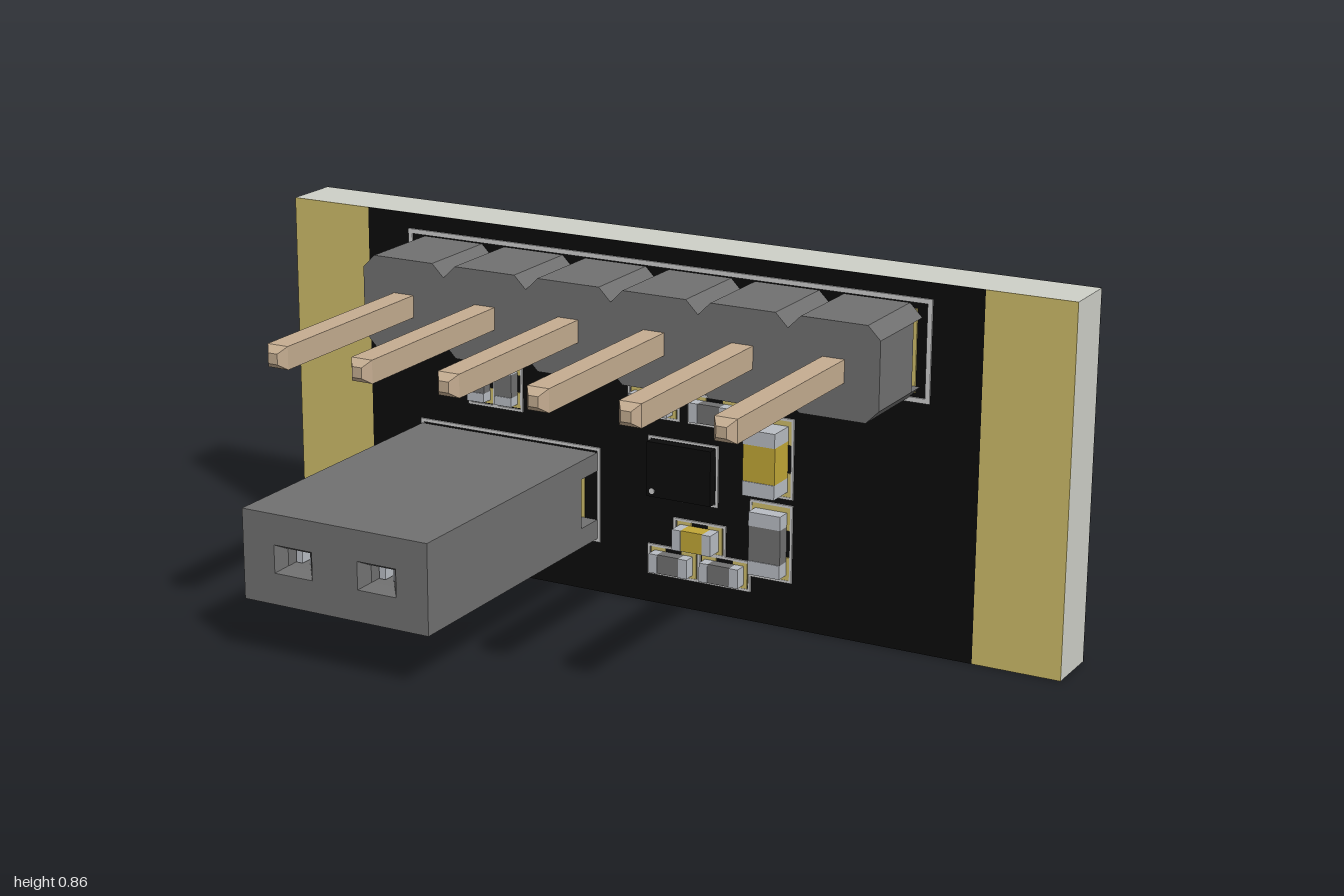
import * as THREE from 'three';

const mat = (color) => new THREE.MeshStandardMaterial({ color, flatShading: true });
const M = {
  board: mat(0xcdcfc7), mask: mat(0x0b0b0b), gold: mat(0xcdbb69), plastic: mat(0x707070),
  pin: mat(0xc4ac90), tin: mat(0xb8bcc2), capacitor: mat(0xc0a636), silk: mat(0xd8d8d8),
};
const FRONT = -0.24, BACK = -0.377, H = 0.857;
const PITCH = 0.2175, PIN_Y = 0.7, SOCKET_Y = 0.24;
const headerX = [0, 1, 2, 3, 4, 5].map((i) => -0.548 + i * PITCH);
const socketX = [-0.512, -0.293];

function add(parent, name, geometry, material) {
  const mesh = new THREE.Mesh(geometry, material);
  mesh.name = name;
  parent.add(mesh);
  return mesh;
}

// Box given by its limits on each axis
function box(parent, name, material, x0, x1, y0, y1, z0, z1) {
  const m = add(parent, name, new THREE.BoxGeometry(x1 - x0, y1 - y0, z1 - z0), material);
  m.position.set((x0 + x1) / 2, (y0 + y1) / 2, (z0 + z1) / 2);
  return m;
}

const polygon = (pts) => new THREE.Shape(pts.map((p) => new THREE.Vector2(...p)));
const rect = (x, y, w, h) => polygon([
  [x - w / 2, y - h / 2], [x + w / 2, y - h / 2], [x + w / 2, y + h / 2], [x - w / 2, y + h / 2]]);

function extrude(parent, name, material, shape, z0, z1) {
  const g = new THREE.ExtrudeGeometry(shape, { depth: z1 - z0, bevelEnabled: false, curveSegments: 24 });
  const m = add(parent, name, g, material);
  m.position.z = z0;
  return m;
}

// Printed rectangular outline on the front
function outline(parent, x, y, w, h, t = 0.01) {
  const s = rect(x, y, w, h);
  s.holes.push(rect(x, y, w - 2 * t, h - 2 * t));
  extrude(parent, 'printedOutline', M.silk, s, FRONT, FRONT + 0.004);
}

// Chip part with a body, two end caps and two solder pads
function chipPart(parent, name, x, y, length, width, height, material, vertical) {
  const g = new THREE.Group();
  g.name = name;
  g.position.set(x, y, FRONT);
  if (vertical) g.rotation.z = Math.PI / 2;
  const a = length / 2, w = width / 2, cap = length * 0.22;
  box(g, 'body', material, -a + cap, a - cap, -w, w, 0.003, height - 0.002);
  for (const s of [-1, 1]) {
    const c = s * (a - cap / 2);
    box(g, 'endCap', M.tin, c - cap / 2, c + cap / 2, -w, w, 0.002, height);
    const p = s * (a - cap * 0.45), pw = cap * 0.85;
    box(g, 'solderPad', M.gold, p - pw, p + pw, -w - 0.008, w + 0.008, 0, 0.003);
  }
  parent.add(g);
  if (vertical) outline(parent, x, y, width + 0.028, length + 0.036, 0.006);
  else outline(parent, x, y, length + 0.036, width + 0.028, 0.006);
}

// Ring pad on both faces; the first pad of a row is square
function throughPad(parent, x, y, square) {
  const s = square ? rect(x, y, 0.19, 0.19) : new THREE.Shape().absarc(x, y, 0.095, 0, Math.PI * 2);
  extrude(parent, 'throughPadBack', M.gold, s, BACK - 0.004, BACK);
  extrude(parent, 'throughPadFront', M.gold, s, FRONT, FRONT + 0.0035);
}

function buildBoard() {
  const g = new THREE.Group();
  g.name = 'circuitBoard';
  box(g, 'boardCore', M.board, -1, 1, 0, H, BACK + 0.002, FRONT - 0.002);
  box(g, 'frontMask', M.mask, -0.79, 0.79, 0, H, FRONT - 0.002, FRONT);
  box(g, 'backMask', M.mask, -1, 1, 0, H, BACK, BACK + 0.002);
  for (const s of [-1, 1]) {
    box(g, 'edgeContact', M.gold, s * 0.895 - 0.105, s * 0.895 + 0.105, 0, H, FRONT - 0.002, FRONT);
  }
  headerX.forEach((x, i) => throughPad(g, x, PIN_Y, i === 5));
  socketX.forEach((x, i) => throughPad(g, x, SOCKET_Y, i === 1));
  outline(g, -0.003, 0.702, 1.345, 0.236, 0.011);
  outline(g, -0.403, 0.24, 0.494, 0.232, 0.008);
  return g;
}

// Six-way pin header with bevelled segments and a channel underneath
function buildHeader() {
  const g = new THREE.Group();
  g.name = 'pinHeader';
  const a = PITCH / 2, b = 0.108, c = 0.03;
  const octagon = polygon([[-a + c, -b], [a - c, -b], [a, -b + c], [a, b - c],
    [a - c, b], [-a + c, b], [-a, b - c], [-a, -b + c]]);
  const pinGeometry = new THREE.LatheGeometry([
    [0, -0.487], [0.017, -0.487], [0.037, -0.453], [0.037, 0.48], [0.017, 0.5], [0, 0.5],
  ].map((p) => new THREE.Vector2(...p)), 4).rotateY(Math.PI / 4).rotateX(Math.PI / 2);
  for (const x of headerX) {
    const way = new THREE.Group();
    way.name = 'headerWay';
    way.position.set(x, PIN_Y, 0);
    extrude(way, 'segment', M.plastic, octagon, -0.187, -0.017);
    for (const s of [-1, 1]) {
      const foot = [[-a, s * (b - c)], [a, s * (b - c)], [a - c, s * b], [-a + c, s * b]];
      extrude(way, 'foot', M.plastic, polygon(foot), -0.233, -0.187);
    }
    add(way, 'pin', pinGeometry, M.pin);
    g.add(way);
  }
  return g;
}

// Two-way socket: long body, funnel openings, feet and flat solder tails
function buildSocket() {
  const g = new THREE.Group();
  g.name = 'socket';
  const x0 = -0.645, x1 = -0.162, y0 = 0.133, y1 = 0.345;
  const layer = (w, h, z0, z1) => {
    const s = rect((x0 + x1) / 2, (y0 + y1) / 2, x1 - x0, y1 - y0);
    for (const x of socketX) s.holes.push(rect(x, SOCKET_Y, w, h));
    extrude(g, 'socketBody', M.plastic, s, z0, z1);
  };
  layer(0.06, 0.04, 0.38, 0.475);
  layer(0.1, 0.066, 0.475, 0.5);
  box(g, 'socketBody', M.plastic, x0, x1, y0, y1, -0.16, 0.38);
  box(g, 'upperFoot', M.plastic, x0, x1, 0.3, y1, -0.235, -0.16);
  box(g, 'lowerFoot', M.plastic, x0, x1, y0, 0.18, -0.235, -0.16);
  const funnel = new THREE.CylinderGeometry(Math.SQRT1_2, Math.SQRT1_2 * 0.6, 0.025, 4, 1, true)
    .rotateY(Math.PI / 4).rotateX(Math.PI / 2).scale(0.1, 0.066, 1);
  const funnelMaterial = M.plastic.clone();
  funnelMaterial.side = THREE.DoubleSide;
  const tail = polygon([[-0.033, 0.16], [-0.033, 0.468], [-0.012, 0.496], [0.012, 0.496],
    [0.033, 0.468], [0.033, 0.16]]);
  const tailGeometry = new THREE.ExtrudeGeometry(tail, { depth: 0.03, bevelEnabled: false })
    .translate(0, 0, -0.015).rotateX(-Math.PI / 2);
  for (const x of socketX) {
    add(g, 'funnel', funnel, funnelMaterial).position.set(x, SOCKET_Y, 0.4875);
    for (const s of [-1, 1]) {
      const cx = x + s * 0.018;
      box(g, 'contact', M.tin, cx - 0.008, cx + 0.008, SOCKET_Y - 0.018, SOCKET_Y + 0.018, 0.37, 0.45);
    }
    add(g, 'solderTail', tailGeometry, M.tin).position.set(x, SOCKET_Y, 0);
  }
  return g;
}

function buildComponents() {
  const g = new THREE.Group();
  g.name = 'components';
  // Small resistors: x, y, upright
  for (const [x, y, up] of [[-0.015, 0.488, false], [0.142, 0.488, false], [-0.477, 0.48, true],
    [-0.402, 0.48, true], [0.04, 0.108, false], [0.172, 0.108, false]]) {
    chipPart(g, 'smallResistor', x, y, 0.1, 0.046, 0.033, M.plastic, up);
  }
  chipPart(g, 'smallCapacitor', 0.107, 0.18, 0.1, 0.05, 0.045, M.capacitor, false);
  chipPart(g, 'largeCapacitor', 0.29, 0.405, 0.155, 0.08, 0.072, M.capacitor, true);
  chipPart(g, 'largeResistor', 0.29, 0.203, 0.15, 0.08, 0.038, M.plastic, true);
  // Sensor chip with its outline and corner mark
  box(g, 'sensorChip', M.mask, -0.02, 0.145, 0.268, 0.4, FRONT, FRONT + 0.025);
  outline(g, 0.0625, 0.334, 0.182, 0.148, 0.006);
  const dot = add(g, 'cornerMark', new THREE.CylinderGeometry(0.007, 0.007, 0.003, 12), M.silk);
  dot.rotation.x = Math.PI / 2;
  dot.position.set(-0.006, 0.282, FRONT + 0.0255);
  return g;
}

export function createModel() {
  const model = new THREE.Group();
  model.name = 'sensorBoard';
  model.add(buildBoard(), buildHeader(), buildSocket(), buildComponents());
  return model;
}
